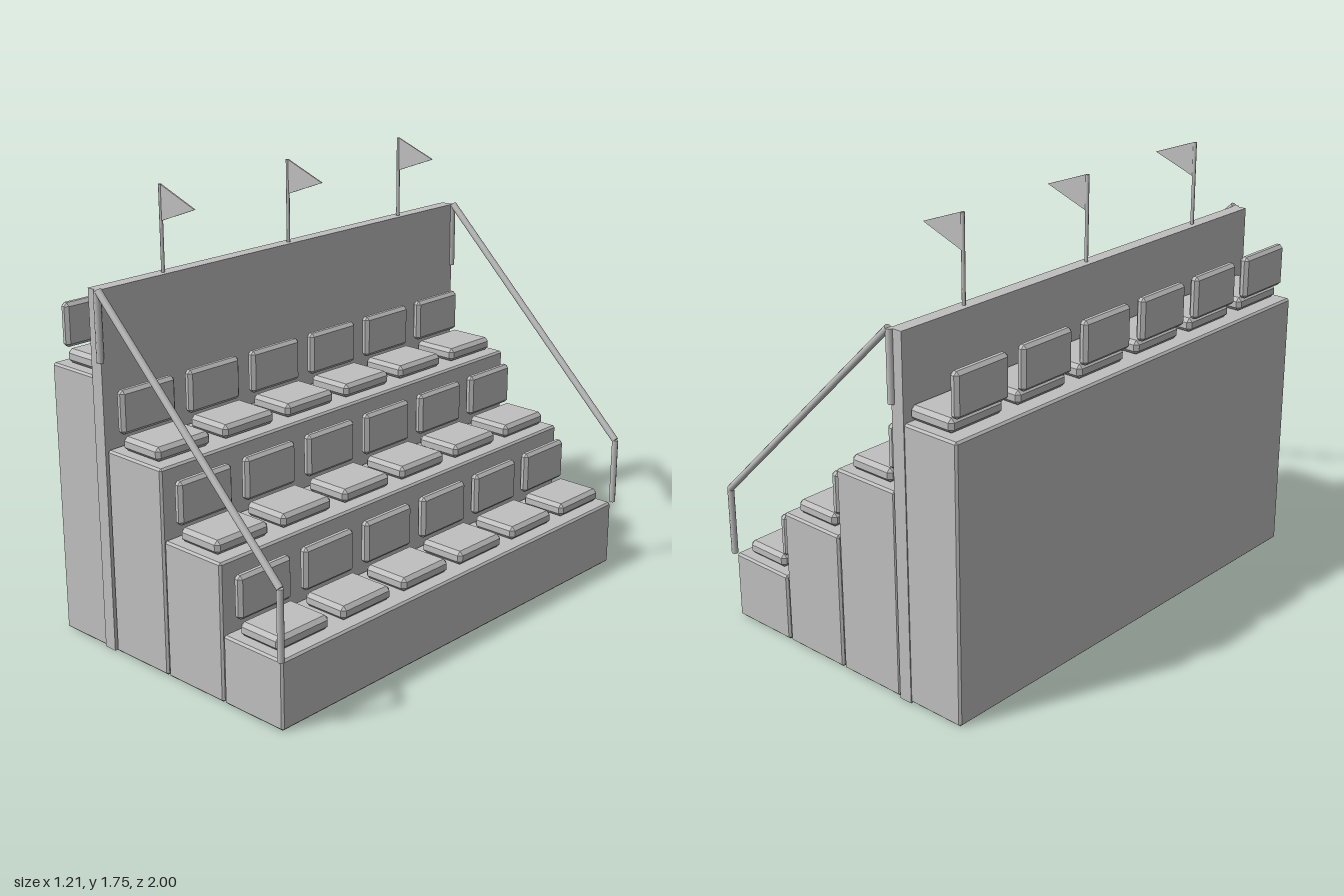
import * as THREE from 'three';
import { ConvexGeometry } from 'three/addons/geometries/ConvexGeometry.js';

const grey = new THREE.MeshStandardMaterial({ color: 0xbfbfbf });
grey.name = 'grey';

// Box with every edge and corner chamfered by c
function chamferBox(w, h, d, c) {
  const half = [w / 2, h / 2, d / 2];
  const points = [];
  for (const sx of [-1, 1]) for (const sy of [-1, 1]) for (const sz of [-1, 1]) {
    for (let axis = 0; axis < 3; axis++) {
      const [x, y, z] = half.map((v, i) => (i === axis ? v : v - c));
      points.push(new THREE.Vector3(x * sx, y * sy, z * sz));
    }
  }
  return new ConvexGeometry(points);
}

function add(parent, name, geometry, x, y, z) {
  const mesh = new THREE.Mesh(geometry, grey);
  mesh.name = name;
  mesh.position.set(x, y, z);
  parent.add(mesh);
  return mesh;
}

// Round bar between two points
function bar(parent, name, a, b, radius) {
  const from = new THREE.Vector3(...a), to = new THREE.Vector3(...b);
  const dir = to.clone().sub(from);
  const mid = from.clone().add(to).multiplyScalar(0.5);
  const mesh = add(parent, name, new THREE.CylinderGeometry(radius, radius, dir.length(), 8), mid.x, mid.y, mid.z);
  mesh.quaternion.setFromUnitVectors(new THREE.Vector3(0, 1, 0), dir.normalize());
}

export function createModel() {
  const model = new THREE.Group();
  model.name = 'grandstand';

  const seatGeometry = chamferBox(0.2, 0.055, 0.26, 0.015);
  const backGeometry = chamferBox(0.04, 0.17, 0.26, 0.013);

  // Four tiers, each with a row of six seats
  for (let row = 0; row < 4; row++) {
    const x = 0.4425 - row * 0.3;
    const top = 0.272 * (row + 1);
    const tier = new THREE.Group();
    tier.name = `tier${row + 1}`;
    model.add(tier);
    add(tier, 'step', chamferBox(0.295, top, 1.96, 0.008), x, top / 2, 0);
    for (let i = 0; i < 6; i++) {
      const z = (i - 2.5) * 0.328;
      add(tier, 'seat', seatGeometry, x + 0.002, top + 0.031, z);
      add(tier, 'backrest', backGeometry, x - 0.105, top + 0.146, z);
    }
  }

  // Wall between the upper two tiers
  add(model, 'wall', new THREE.BoxGeometry(0.055, 1.42, 1.968), -0.3375, 0.71, 0);

  // Sloping handrails on both ends
  for (const side of [-1, 1]) {
    const z = side * 0.986;
    const rail = new THREE.Group();
    rail.name = side > 0 ? 'frontHandrail' : 'rearHandrail';
    model.add(rail);
    bar(rail, 'lowerPost', [0.592, 0.275, z], [0.592, 0.55, z], 0.013);
    bar(rail, 'upperPost', [-0.312, 1.15, z], [-0.312, 1.42, z], 0.014);
    bar(rail, 'slopingRail', [-0.306, 1.42, z], [0.592, 0.55, z], 0.014);
  }

  // Pennants along the top of the wall
  const triangle = new THREE.Shape([
    new THREE.Vector2(0, 0.068), new THREE.Vector2(0, -0.068), new THREE.Vector2(0.183, 0),
  ]);
  const flagGeometry = new THREE.ExtrudeGeometry(triangle, { depth: 0.006, bevelEnabled: false });
  flagGeometry.translate(0, 0, -0.003);
  for (const z of [-0.655, 0, 0.655]) {
    bar(model, 'flagPole', [-0.336, 1.41, z], [-0.336, 1.75, z], 0.007);
    add(model, 'flag', flagGeometry, -0.332, 1.682, z);
  }

  return model;
}
